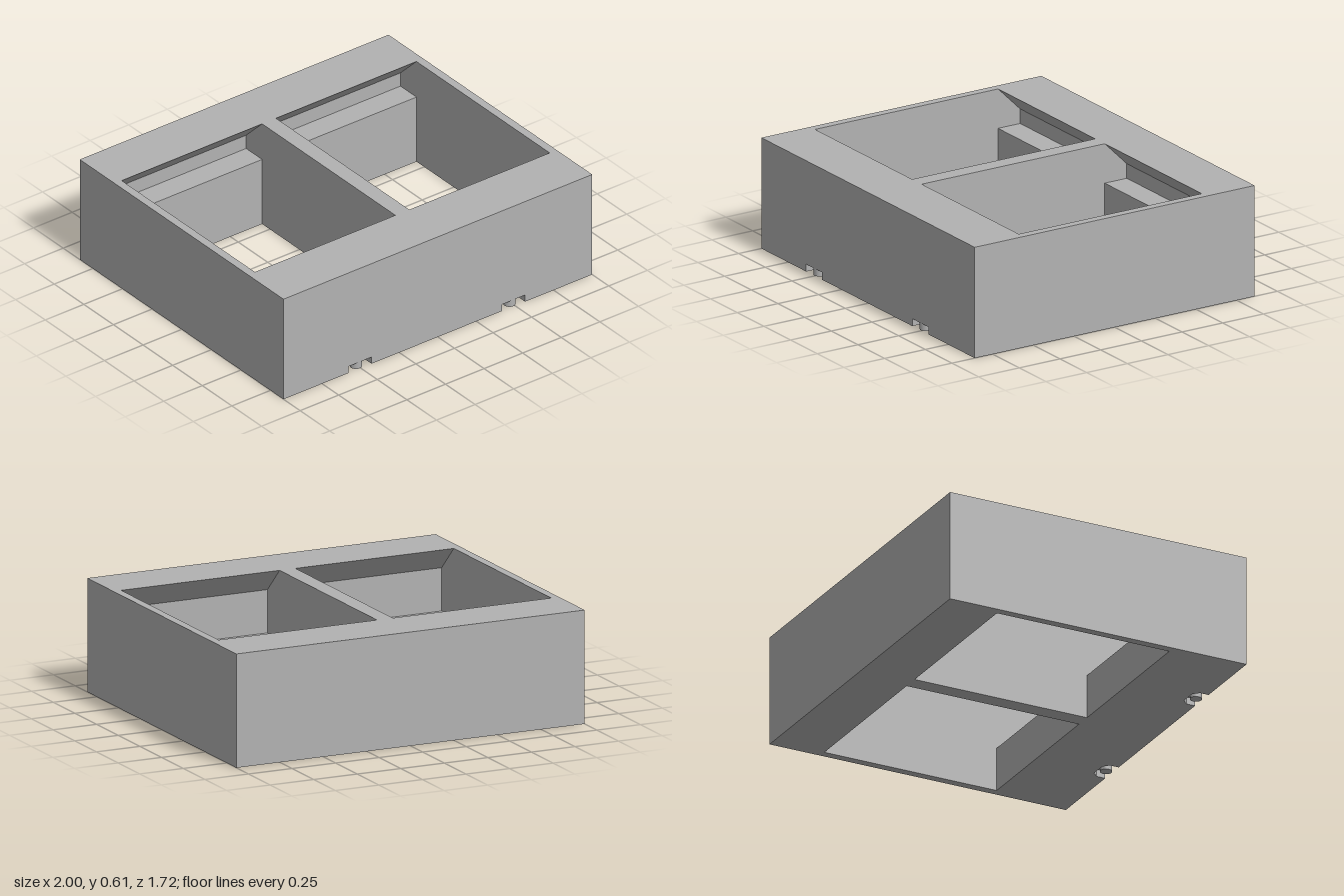
import * as THREE from 'three';
import { mergeGeometries } from 'three/addons/utils/BufferGeometryUtils.js';

const HX = 1, HZ = 0.86, H = 0.605; // outer half sizes and height
const WELL_W = 0.91, WELL_STARTS = [-0.955, 0.045];
const TOP_BACK = -0.565, TOP_FRONT = 0.56, BASE_FRONT = 0.435;
const SOCKETS = [-0.505, 0.49], SOCKET_H = 0.04;

// Well cross-section as [z, y]: front side going up, back side going down
const FRONT_SIDE = [[BASE_FRONT, 0], [BASE_FRONT, 0.24], [0.7, 0.24], [0.7, 0.47], [TOP_FRONT, H]];
const BACK_SIDE = [[TOP_BACK, H], [-0.7, 0.47], [-0.7, 0.39], [TOP_BACK, 0.39], [TOP_BACK, 0]];

// Socket outline as [x, z] relative to the middle of its mouth
const SOCKET = [[-0.075, 0], [-0.075, -0.05], [-0.045, -0.08], [0.045, -0.08], [0.075, -0.05], [0.075, 0]];

const shapeOf = (pts) => new THREE.Shape(pts.map(([a, b]) => new THREE.Vector2(a, b)));
const rect = (x0, x1, y0, y1) => [[x0, y0], [x1, y0], [x1, y1], [x0, y1]];
const socketAt = (cx) => SOCKET.map(([x, z]) => [cx + x, HZ + z]);

function face(outline, holes = []) {
  const shape = shapeOf(outline);
  shape.holes = holes.map(shapeOf);
  return new THREE.ShapeGeometry(shape);
}

// Flat-shaded strip: sweeps a path of 3D points along one vector
function strip(path, [dx, dy, dz]) {
  const pos = [];
  for (let i = 0; i < path.length - 1; i++) {
    const p = path[i], q = path[i + 1];
    const p2 = [p[0] + dx, p[1] + dy, p[2] + dz], q2 = [q[0] + dx, q[1] + dy, q[2] + dz];
    pos.push(...p, ...q, ...q2, ...p, ...q2, ...p2);
  }
  const g = new THREE.BufferGeometry();
  g.setAttribute('position', new THREE.Float32BufferAttribute(pos, 3));
  g.computeVertexNormals();
  return g;
}

export function createModel() {
  const model = new THREE.Group();
  const grey = new THREE.MeshStandardMaterial({ color: 0xb2b2b2 });
  grey.name = 'plain grey';
  const add = (name, geometry) => {
    const mesh = new THREE.Mesh(geometry, grey);
    mesh.name = name;
    model.add(mesh);
    return mesh;
  };

  // Top rim with two openings
  add('topRim', face(rect(-HX, HX, -HZ, HZ),
    WELL_STARTS.map((x) => rect(x, x + WELL_W, -TOP_FRONT, -TOP_BACK)))
    .rotateX(-Math.PI / 2).translate(0, H, 0));

  // Underside with two openings and the socket mouths cut from its front edge
  const frontEdge = SOCKETS.slice().reverse().flatMap((cx) => socketAt(cx).reverse());
  add('underside', face([[-HX, -HZ], [HX, -HZ], [HX, HZ], ...frontEdge, [-HX, HZ]],
    WELL_STARTS.map((x) => rect(x, x + WELL_W, TOP_BACK, BASE_FRONT)))
    .rotateX(Math.PI / 2));

  // Front wall, notched at the sockets
  const notches = SOCKETS.flatMap((cx) => [
    [cx - 0.075, 0], [cx - 0.075, SOCKET_H], [cx + 0.075, SOCKET_H], [cx + 0.075, 0]]);
  add('frontWall', face([[-HX, 0], ...notches, [HX, 0], [HX, H], [-HX, H]]).translate(0, 0, HZ));

  // Side and back walls
  add('outerWalls', strip([[HX, 0, HZ], [HX, 0, -HZ], [-HX, 0, -HZ], [-HX, 0, HZ]], [0, H, 0]));

  // Wells: ledged front and back, flat ends
  const section = [...FRONT_SIDE, ...BACK_SIDE];
  const mirrored = section.map(([z, y]) => [-z, y]);
  for (const x of WELL_STARTS) {
    const at = ([z, y]) => [x, y, z];
    add('wellFront', strip(FRONT_SIDE.map(at), [WELL_W, 0, 0]));
    add('wellBack', strip(BACK_SIDE.map(at), [WELL_W, 0, 0]));
    add('wellEnd', face(mirrored).rotateY(Math.PI / 2).translate(x, 0, 0));
    add('wellEnd', face(section).rotateY(-Math.PI / 2).translate(x + WELL_W, 0, 0));
  }

  // Connector sockets, each with a round post
  for (const cx of SOCKETS) {
    const outline = socketAt(cx);
    const walls = strip(outline.map(([x, z]) => [x, 0, z]), [0, SOCKET_H, 0]);
    const ceiling = face(outline).rotateX(Math.PI / 2).translate(0, SOCKET_H, 0).toNonIndexed();
    ceiling.deleteAttribute('uv');
    add('socket', mergeGeometries([walls, ceiling]));
    add('socketPost', new THREE.CylinderGeometry(0.032, 0.032, SOCKET_H, 20))
      .position.set(cx, SOCKET_H / 2, HZ - 0.034);
  }
  return model;
}
